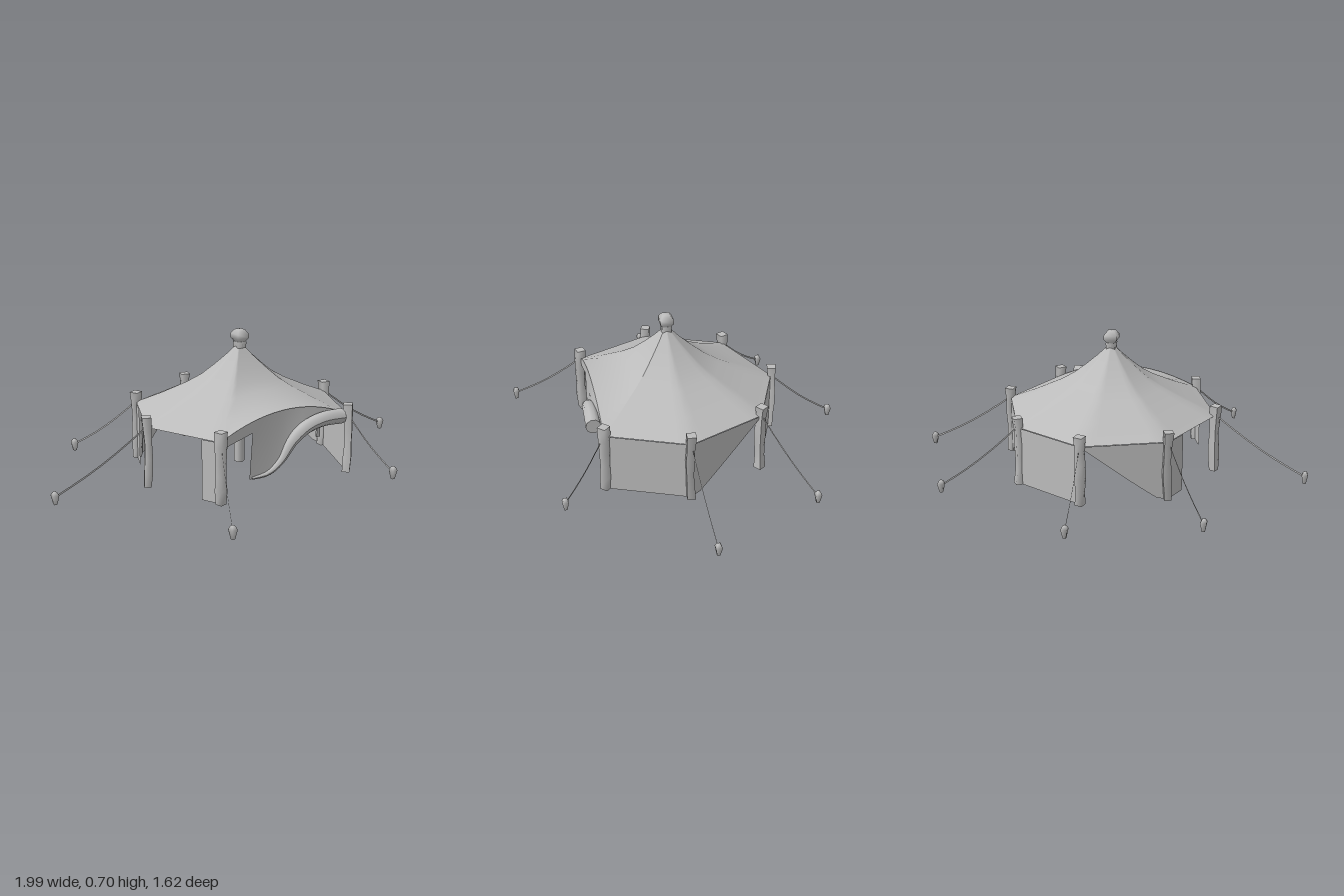
import * as THREE from 'three';

const canvasGrey = new THREE.MeshStandardMaterial({ color: 0xbcbcbc, side: THREE.DoubleSide });
canvasGrey.name = 'canvasGrey';

const CX = 0.01, CZ = 0.07;
// side poles, counted round the tent from the front left corner
const POLES = [[0.39, 0.45], [0.55, 0.07], [0.385, -0.315], [0.03, -0.47], [-0.36, -0.315], [-0.525, 0.07], [-0.36, 0.45]];
const STAKES = [[0.51, 0.66], [0.98, 0.05], [0.72, -0.5], [0.01, -0.8], [-0.58, -0.59], [-0.985, 0.02], [-0.53, 0.79]];
const lerp = THREE.MathUtils.lerp;

// piecewise linear lookup in [[x, y], ...]
function table(points, x) {
  for (let i = 1; i < points.length; i++) {
    const [a, b] = [points[i - 1], points[i]];
    if (x <= b[0] || i === points.length - 1) return lerp(a[1], b[1], THREE.MathUtils.clamp((x - a[0]) / (b[0] - a[0]), 0, 1));
  }
}

// surface through a grid of points f(u, v)
function sheet(name, nu, nv, f) {
  const geo = new THREE.PlaneGeometry(1, 1, nu, nv);
  const pos = geo.attributes.position;
  for (let j = 0, k = 0; j <= nv; j++) {
    for (let i = 0; i <= nu; i++, k++) pos.setXYZ(k, ...f(i / nu, j / nv));
  }
  geo.computeVertexNormals();
  const mesh = new THREE.Mesh(geo, canvasGrey);
  mesh.name = name;
  return mesh;
}

function add(group, name, geo, x = 0, y = 0, z = 0) {
  const mesh = new THREE.Mesh(geo, canvasGrey);
  mesh.name = name;
  mesh.position.set(x, y, z);
  group.add(mesh);
  return mesh;
}

// raised front edge of the roof
const archY = (x) => 0.39 - 0.09 * Math.min(1, ((x - 0.015) / 0.375) ** 2);

function roof() {
  const rim = [...POLES, [0.015, 0.45]];
  const profile = [[0.03, 0.625], [0.12, 0.575], [0.23, 0.522], [0.36, 0.465], [0.5, 0.42], [0.75, 0.355], [1, 0.298]];
  return sheet('roof', 48, 6, (u, v) => {
    const t = u * 8, i = Math.floor(t) % 8, f = t - Math.floor(t);
    const a = rim[i], b = rim[(i + 1) % 8];
    const x = lerp(a[0], b[0], f), z = lerp(a[1], b[1], f);
    const [s, y] = profile[Math.round(v * 6)];
    const lift = i >= 6 ? archY(x) - 0.3 : 0;
    return [lerp(CX, x, s), y + lift * s ** 3, lerp(CZ, z, s)];
  });
}

// wall from pole a towards pole b; bottom(t) gives the height of its lower edge
function wall(name, a, b, end, bottom) {
  return sheet(name, 8, 4, (u, v) => {
    const t = u * end;
    return [lerp(POLES[a][0], POLES[b][0], t), lerp(0.296, bottom(t), v), lerp(POLES[a][1], POLES[b][1], t)];
  });
}

function sidePole(i) {
  const geo = new THREE.CylinderGeometry(0.03, 0.03, 0.35, 4, 5);
  const pos = geo.attributes.position;
  for (let k = 0; k < pos.count; k++) {
    const y = pos.getY(k) + 0.175;
    const swell = y > 0.33 ? 1.05 : 0.88 + 0.1 * Math.sin(y * 30 + i);
    const bend = 0.008 * Math.sin((y / 0.35) * Math.PI);
    pos.setX(k, pos.getX(k) * swell + bend * Math.cos(i * 2.1));
    pos.setZ(k, pos.getZ(k) * swell + bend * Math.sin(i * 2.1));
  }
  geo.rotateY(i * 0.7);
  geo.computeVertexNormals();
  return geo;
}

// thin upright ribbon sagging from pole to stake
function rope(i) {
  const [a, b] = [POLES[i], STAKES[i]];
  return sheet('guyRope', 6, 1, (u, v) => [
    lerp(a[0], b[0], u),
    lerp(0.3, 0.035, u) - 0.018 * Math.sin(Math.PI * u) + (0.5 - v) * 0.01,
    lerp(a[1], b[1], u),
  ]);
}

// cloth rolled up along the lower edge of the door curtain
function doorRoll(group) {
  const path = new THREE.CatmullRomCurve3([
    [-0.19, 0.09, 0.455], [-0.1, 0.1, 0.462], [-0.03, 0.15, 0.468], [0.03, 0.235, 0.473],
    [0.1, 0.288, 0.478], [0.2, 0.314, 0.482], [0.32, 0.312, 0.487],
  ].map((p) => new THREE.Vector3(...p)));
  const geo = new THREE.TubeGeometry(path, 24, 1, 10);
  const pos = geo.attributes.position, v = new THREE.Vector3();
  for (let i = 0; i <= 24; i++) {
    const c = path.getPointAt(i / 24);
    const r = table([[0, 0.006], [0.3, 0.018], [0.55, 0.032], [1, 0.037]], i / 24);
    for (let j = 0; j <= 10; j++) {
      const k = i * 11 + j;
      v.fromBufferAttribute(pos, k).sub(c).multiplyScalar(r).add(c);
      pos.setXYZ(k, v.x, v.y, v.z);
    }
  }
  geo.computeVertexNormals();
  add(group, 'doorRoll', geo);
  add(group, 'doorRollEnd', new THREE.CircleGeometry(0.037, 10).rotateY(Math.PI / 2), 0.32, 0.312, 0.487);
}

export function createModel() {
  const tent = new THREE.Group();
  tent.name = 'tent';
  tent.add(roof());

  // walls: two whole, two drawn up to a corner, two gathered beside their poles
  const whole = () => 0;
  const drawn = (t) => 0.296 * Math.max(0, (t - 0.08) / 0.92) ** 1.05;
  tent.add(
    wall('leftFrontWall', 0, 1, 1, whole),
    wall('backWall', 2, 3, 1, whole),
    wall('leftDrawnWall', 1, 2, 1, drawn),
    wall('backDrawnWall', 4, 3, 1, drawn),
    wall('rightBackGatheredWall', 4, 5, 0.3, whole),
    wall('rightFrontGatheredWall', 6, 5, 0.25, whole),
  );

  // door curtain hanging from the front roof edge
  tent.add(sheet('doorValance', 6, 2, (u, v) => {
    const x = lerp(-0.36, -0.18, u);
    return [x, lerp(archY(x), lerp(0.262, 0.31, u), v), 0.45];
  }));
  const hem = [[-0.2, 0.085], [-0.1, 0.095], [-0.03, 0.15], [0.03, 0.235], [0.1, 0.288], [0.2, 0.295], [0.39, 0.285]];
  tent.add(sheet('doorCurtain', 20, 5, (u, v) => {
    const x = lerp(-0.18, 0.39, u) - 0.02 * v * (1 - u);
    const bulge = 0.02 * v * Math.sin(Math.PI * u);
    return [x, lerp(archY(x), table(hem, x), v), 0.45 + bulge];
  }));
  doorRoll(tent);
  add(tent, 'doorStrap', new THREE.BoxGeometry(0.02, 0.08, 0.008), 0.2, 0.26, 0.455);

  // side poles with their ropes and stakes
  const stakeProfile = [[0, 0], [0.01, 0], [0.021, 0.045], [0.012, 0.06], [0, 0.066]].map((p) => new THREE.Vector2(...p));
  POLES.forEach(([x, z], i) => {
    add(tent, 'sidePole', sidePole(i), x, 0.175, z);
    add(tent, 'stake', new THREE.LatheGeometry(stakeProfile, 4, Math.PI / 4), STAKES[i][0], 0, STAKES[i][1]);
    tent.add(rope(i));
  });

  // centre pole and its finial
  add(tent, 'centrePole', new THREE.CylinderGeometry(0.024, 0.026, 0.62, 6), CX, 0.33, CZ);
  const finial = [[0.032, 0.61], [0.034, 0.64], [0.03, 0.642], [0.046, 0.658], [0.046, 0.68], [0.026, 0.7], [0, 0.702]];
  add(tent, 'finial', new THREE.LatheGeometry(finial.map((p) => new THREE.Vector2(...p)), 4, Math.PI / 4), CX, 0, CZ);
  return tent;
}
